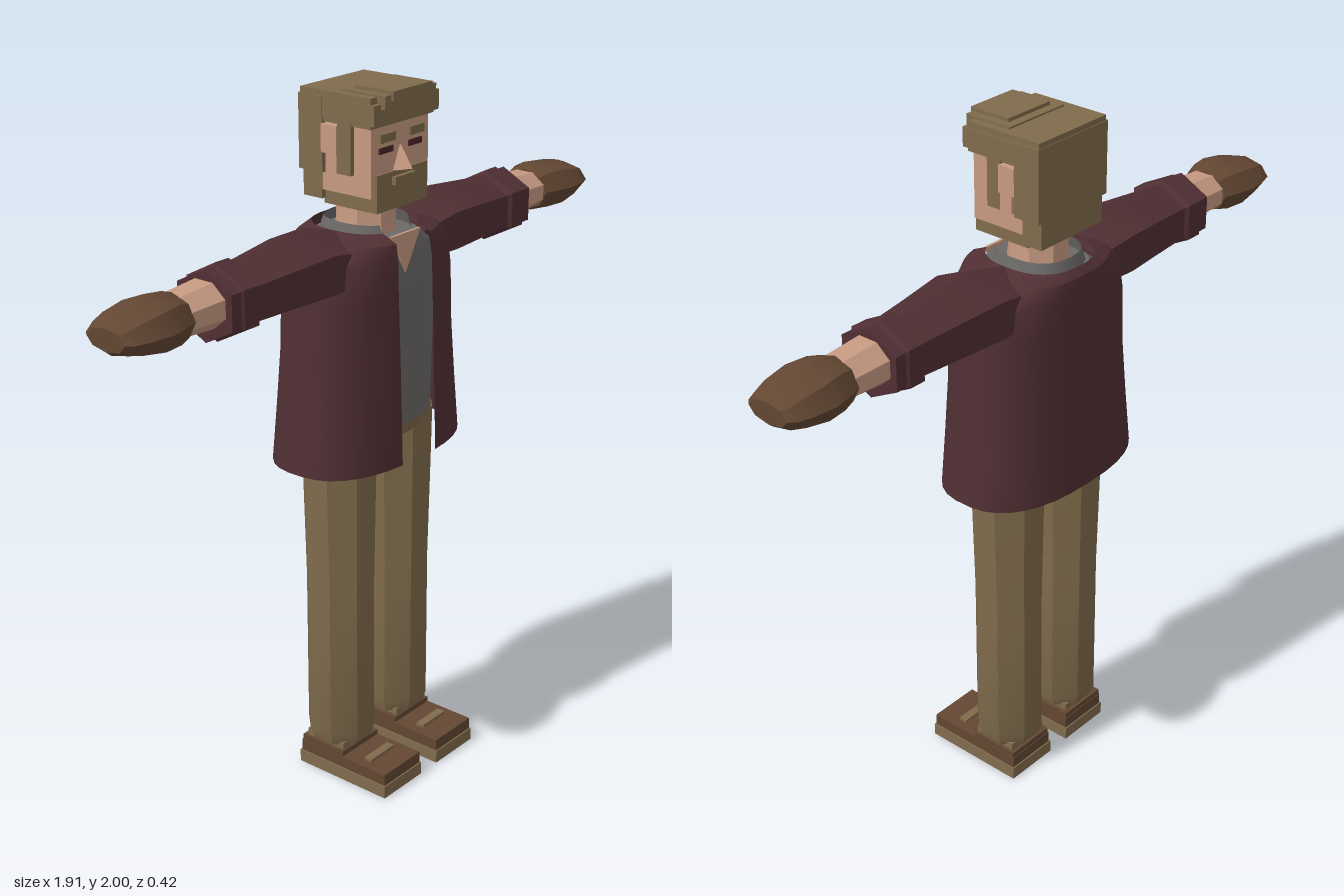
import * as THREE from 'three';
import { toCreasedNormals } from 'three/addons/utils/BufferGeometryUtils.js';

const mat = (name, color, side = THREE.FrontSide) => {
  const m = new THREE.MeshStandardMaterial({ color, side });
  m.name = name;
  return m;
};

// Skin between equal-length rings of points; a ring may be open (a slit) and ends may be capped
function loft(rings, { closed = true, cap = true } = {}) {
  const n = rings[0].length, pos = [], idx = [];
  rings.forEach(r => r.forEach(p => pos.push(...p)));
  for (let i = 0; i < rings.length - 1; i++) {
    for (let j = 0; j < (closed ? n : n - 1); j++) {
      const a = i * n + j, b = i * n + (j + 1) % n;
      idx.push(a, b, b + n, a, b + n, a + n);
    }
  }
  if (cap) {
    const t = (rings.length - 1) * n;
    for (let j = 1; j < n - 1; j++) idx.push(0, j + 1, j, t, t + j, t + j + 1);
  }
  const g = new THREE.BufferGeometry();
  g.setAttribute('position', new THREE.Float32BufferAttribute(pos, 3));
  g.setIndex(idx);
  return toCreasedNormals(g, 0.5);
}

const spow = (v, e) => Math.sign(v) * Math.abs(v) ** e;

// Upright ring, starting at the front; gap leaves a slit of that half width
function ringY(y, a, b, cx, cz, n, e = 1, gap = 0, turn = 0) {
  const t0 = gap ? Math.asin((gap / a) ** (1 / e)) : turn;
  const span = gap ? 2 * Math.PI - 2 * t0 : 2 * Math.PI;
  return Array.from({ length: n }, (_, j) => {
    const t = t0 + span * j / (gap ? n - 1 : n);
    return [cx + a * spow(Math.sin(t), e), y, cz + b * spow(Math.cos(t), e)];
  });
}

// Ring across an arm; s is the side of the body
function ringX(s, x, cy, ry, rz, n, turn = 0) {
  return Array.from({ length: n }, (_, j) => {
    const t = turn + 2 * Math.PI * j / n;
    return [s * x, cy + ry * Math.cos(t), -0.022 + s * rz * Math.sin(t)];
  });
}

export function createModel() {
  const model = new THREE.Group();
  model.name = 'standingMan';
  const jacket = mat('jacketMaroon', 0x502f33, THREE.DoubleSide);
  const olive = mat('oliveBrown', 0x806c4c);
  const brown = mat('leatherBrown', 0x634733);
  const skin = mat('skin', 0xc79a82);
  const shirt = mat('shirtGrey', 0x6b6968, THREE.DoubleSide);
  const dark = mat('eyeDark', 0x4a2428);

  const add = (name, geo, m, parent = model) => {
    const mesh = new THREE.Mesh(geo, m);
    mesh.name = name;
    parent.add(mesh);
    return mesh;
  };
  // Box given by its limits
  const box = (name, m, x0, x1, y0, y1, z0, z1, parent = model) => {
    const g = new THREE.BoxGeometry(Math.abs(x1 - x0), y1 - y0, z1 - z0);
    g.translate((x0 + x1) / 2, (y0 + y1) / 2, (z0 + z1) / 2);
    return add(name, g, m, parent);
  };

  // Jacket body, open at the front and hem
  const jacketRings = [
    [0.98, 0.305, 0.187, -0.022], [1.14, 0.286, 0.181, -0.021], [1.3, 0.27, 0.175, -0.02],
    [1.47, 0.268, 0.168, -0.02], [1.56, 0.25, 0.166, -0.02], [1.6, 0.2, 0.162, -0.02],
    [1.62, 0.13, 0.135, -0.03],
  ];
  add('jacketBody', loft(jacketRings.map(([y, a, b, cz]) => ringY(y, a, b, 0, cz, 33, 0.8, 0.072)),
    { closed: false, cap: false }), jacket);

  // Shirt, its collar and the bare chest
  add('shirtBody', loft([[1.06, 0.19, 0.125], [1.45, 0.2, 0.13], [1.56, 0.17, 0.13], [1.6, 0.11, 0.125]]
    .map(([y, a, b]) => ringY(y, a, b, 0, -0.022, 24, 0.6))), shirt);
  add('shirtCollar', loft([[1.58, 0.115, 0.125], [1.635, 0.1, 0.11]]
    .map(([y, a, b]) => ringY(y, a, b, 0, -0.025, 17, 0.8, 0.06)), { closed: false, cap: false }), shirt);
  const vee = new THREE.Shape([[0, 1.5], [0.062, 1.61], [-0.062, 1.61]].map(p => new THREE.Vector2(...p)));
  const veeGeo = new THREE.ExtrudeGeometry(vee, { depth: 0.008, bevelEnabled: false });
  add('chest', veeGeo.translate(0, 0, 0.104), skin);
  add('neck', loft([[1.56, 0.092, 0.092], [1.62, 0.082, 0.085], [1.72, 0.078, 0.08]]
    .map(([y, a, b]) => ringY(y, a, b, 0, -0.025, 8, 1, 0, Math.PI / 8))), skin);

  // Hips
  add('hips', loft([[1.015, 0.14, 0.1], [1.04, 0.19, 0.115], [1.075, 0.2, 0.122]]
    .map(([y, a, b]) => ringY(y, a, b, 0, -0.02, 16, 0.6))), olive);

  for (const s of [1, -1]) {
    const side = s > 0 ? 'left' : 'right';

    // Arm: six-sided sleeve and cuff, forearm, gloved hand
    const arm = new THREE.Group();
    arm.name = side + 'Arm';
    model.add(arm);
    const tube = (name, rows, n, m, turn) =>
      add(name, loft(rows.map(([x, cy, ry, rz]) => ringX(s, x, cy, ry, rz, n, turn))), m, arm);
    tube('sleeve', [[0.13, 1.535, 0.085, 0.11], [0.26, 1.553, 0.105, 0.133],
      [0.4, 1.547, 0.097, 0.115], [0.54, 1.542, 0.088, 0.1]], 6, jacket);
    tube('cuff', [[0.525, 1.542, 0.09, 0.1], [0.535, 1.542, 0.103, 0.113],
      [0.585, 1.542, 0.103, 0.113], [0.592, 1.542, 0.095, 0.106], [0.625, 1.542, 0.095, 0.106]], 6, jacket);
    tube('forearm', [[0.6, 1.55, 0.066, 0.078], [0.76, 1.548, 0.055, 0.072]], 8, skin, Math.PI / 8);
    tube('hand', [[0.735, 1.548, 0.06, 0.078], [0.77, 1.548, 0.072, 0.088], [0.83, 1.548, 0.07, 0.102],
      [0.9, 1.548, 0.055, 0.095], [0.94, 1.547, 0.042, 0.082], [0.955, 1.547, 0.03, 0.065]], 8, brown);

    // Eight-sided trouser leg
    const leg = new THREE.Group();
    leg.name = side + 'Leg';
    model.add(leg);
    add('trouserLeg', loft([[0.1, 0.088, 0.088, 0.122], [0.135, 0.1, 0.1, 0.122], [0.6, 0.099, 0.1, 0.122],
      [0.9, 0.108, 0.105, 0.123], [1.06, 0.113, 0.108, 0.122]]
      .map(([y, a, b, cx]) => ringY(y, a, b, s * cx, -0.02, 8, 1, 0, Math.PI / 8))), olive, leg);

    // Shoe with sole, heel counter and strap
    box('ankle', olive, s * 0.055, s * 0.19, 0.07, 0.11, -0.09, 0.045, leg);
    box('sole', olive, s * 0.036, s * 0.205, 0, 0.038, -0.108, 0.21, leg);
    box('shoeUpper', brown, s * 0.04, s * 0.201, 0.038, 0.073, -0.104, 0.206, leg);
    box('shoeHeel', brown, s * 0.042, s * 0.199, 0.06, 0.089, -0.102, 0.05, leg);
    box('shoeStrap', olive, s * 0.07, s * 0.172, 0.07, 0.083, 0.11, 0.135, leg);
  }

  // Head
  const head = new THREE.Group();
  head.name = 'head';
  model.add(head);
  const h = (name, m, ...limits) => box(name, m, ...limits, head);
  h('face', skin, -0.118, 0.118, 1.72, 1.93, -0.12, 0.09);
  h('beard', olive, -0.105, 0.105, 1.68, 1.78, -0.08, 0.098);
  h('moustache', olive, -0.042, 0.042, 1.745, 1.767, 0.09, 0.11);
  h('hairTop', olive, -0.13, 0.13, 1.905, 1.985, -0.138, 0.098);
  h('hairBack', olive, -0.135, 0.135, 1.77, 1.97, -0.14, -0.06);
  h('hairNape', olive, -0.12, 0.12, 1.695, 1.78, -0.138, -0.075);
  h('fringe', olive, -0.134, 0.134, 1.915, 1.968, -0.06, 0.112);
  h('quiffBase', olive, -0.105, 0.105, 1.955, 1.99, -0.02, 0.125);
  h('quiff', olive, -0.08, 0.08, 1.975, 2.0, 0.005, 0.132);
  add('nose', loft([
    [[0, 1.785, 0.132], [0.031, 1.778, 0.088], [-0.031, 1.778, 0.088]],
    [[0, 1.842, 0.094], [0.003, 1.842, 0.088], [-0.003, 1.842, 0.088]],
  ]), skin, head);
  for (const s of [1, -1]) {
    h('eyebrow', olive, s * 0.03, s * 0.09, 1.862, 1.885, 0.085, 0.1);
    h('eye', dark, s * 0.033, s * 0.088, 1.832, 1.848, 0.086, 0.094);
    h('sideburn', olive, s * 0.105, s * 0.132, 1.775, 1.92, -0.012, 0.033);
    h('ear', skin, s * 0.11, s * 0.138, 1.825, 1.9, -0.062, -0.01);
    h('earLobe', skin, s * 0.11, s * 0.134, 1.775, 1.825, -0.05, -0.012);
  }
  return model;
}
